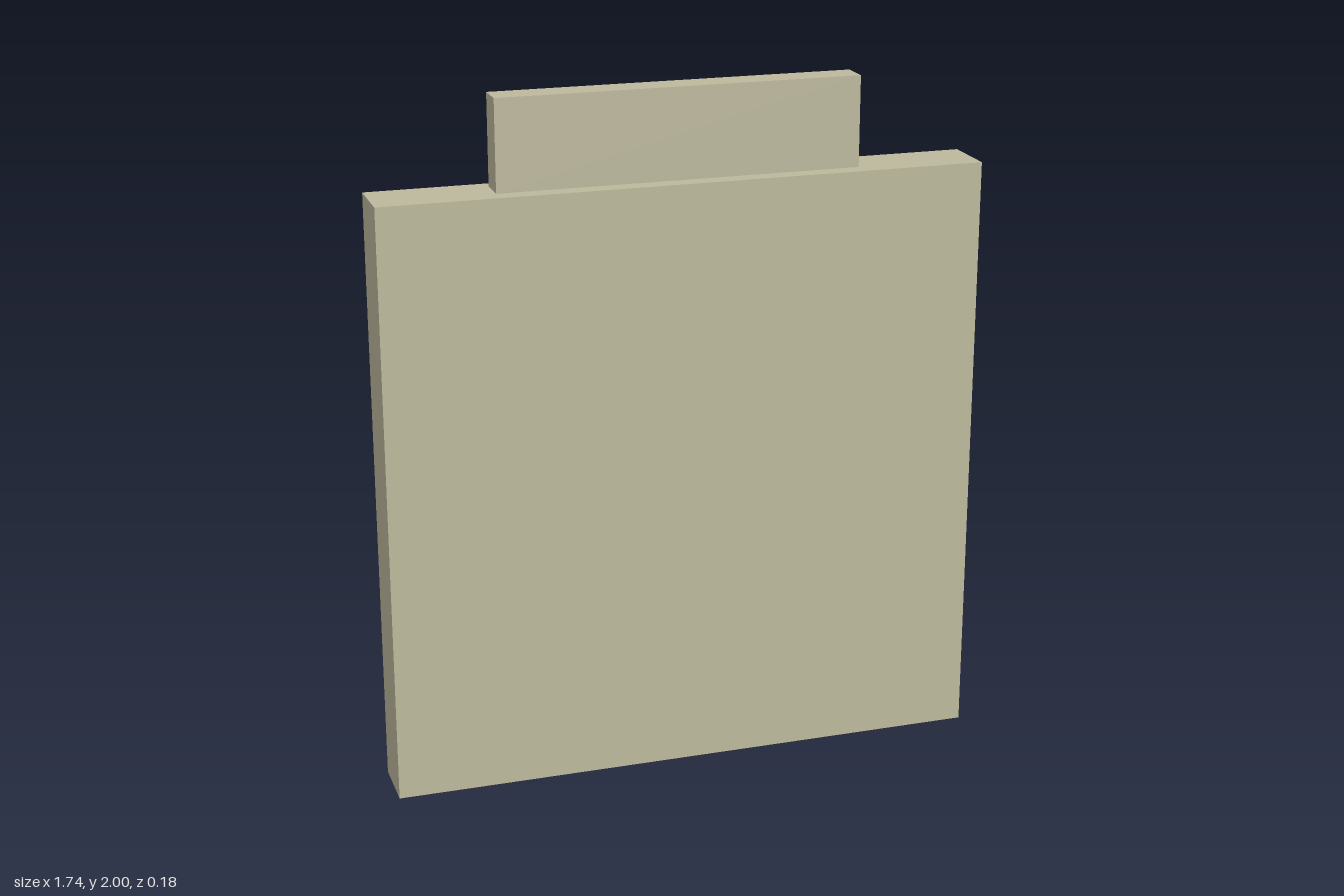
import * as THREE from 'three';

const HALF = 0.87;      // half the width of the square case
const DEPTH = 0.087;    // half the depth of the case
const OPENING = 0.79;   // half the width of the opening in the frame
const RECESS = 0.06;    // how far the dial lies behind the frame

export function createModel() {
  const stone = new THREE.MeshStandardMaterial({ color: 0xbfbb9f });
  stone.name = 'warm grey';
  const dark = new THREE.MeshStandardMaterial({ color: 0x404042, flatShading: true });
  dark.name = 'charcoal';

  const model = new THREE.Group();
  model.name = 'squareClock';
  const add = (parent, name, geometry, material, x = 0, y = 0, z = 0) => {
    const mesh = new THREE.Mesh(geometry, material);
    mesh.name = name;
    mesh.position.set(x, y, z);
    parent.add(mesh);
    return mesh;
  };

  // Mounting block on top of the case
  add(model, 'mountingBlock', new THREE.BoxGeometry(1.045, 0.26, 0.087), stone, -0.007, 1.87, -0.007);

  // The clock is built facing local +z, then turned to face the back
  const clock = new THREE.Group();
  clock.name = 'clock';
  clock.position.y = HALF;
  clock.rotation.y = Math.PI;
  model.add(clock);

  // Solid case with a square frame around the recess
  const dialZ = DEPTH - RECESS;
  add(clock, 'case', new THREE.BoxGeometry(2 * HALF, 2 * HALF, dialZ + DEPTH), stone, 0, 0, (dialZ - DEPTH) / 2);
  const square = (Type, h) => new Type([[-h, -h], [h, -h], [h, h], [-h, h]].map(([x, y]) => new THREE.Vector2(x, y)));
  const outline = square(THREE.Shape, HALF);
  outline.holes.push(square(THREE.Path, OPENING));
  add(clock, 'frame', new THREE.ExtrudeGeometry(outline, { depth: RECESS, bevelEnabled: false }), stone, 0, 0, dialZ);

  // Thin dial plate
  add(clock, 'dial', new THREE.BoxGeometry(1.546, 1.546, 0.004), stone, 0, 0, dialZ + 0.002);

  // Twelve hour marks
  const markGeometry = new THREE.CylinderGeometry(0.018, 0.018, 0.17, 8);
  for (let i = 0; i < 12; i++) {
    const angle = i * Math.PI / 6;
    const mark = add(clock, 'hourMark', markGeometry, dark,
      0.67 * Math.sin(angle), 0.67 * Math.cos(angle), dialZ + 0.015);
    mark.rotation.z = -angle;
  }

  // Tapered hands, each with a short blunt tail behind the centre
  const addHand = (name, length, angle) => {
    const tail = 0.085;
    const geometry = new THREE.CylinderGeometry(0.003, 0.037, length + tail, 12);
    geometry.translate(0, (length - tail) / 2, 0);
    add(clock, name, geometry, dark, 0, 0, DEPTH - 0.036).rotation.z = -angle;
  };
  addHand('minuteHand', 0.765, 0);
  addHand('hourHand', 0.525, Math.PI / 2);

  // Round cap where the hands cross
  add(clock, 'hub', new THREE.SphereGeometry(0.033, 16, 12), stone, 0, 0, DEPTH - 0.028);

  return model;
}
